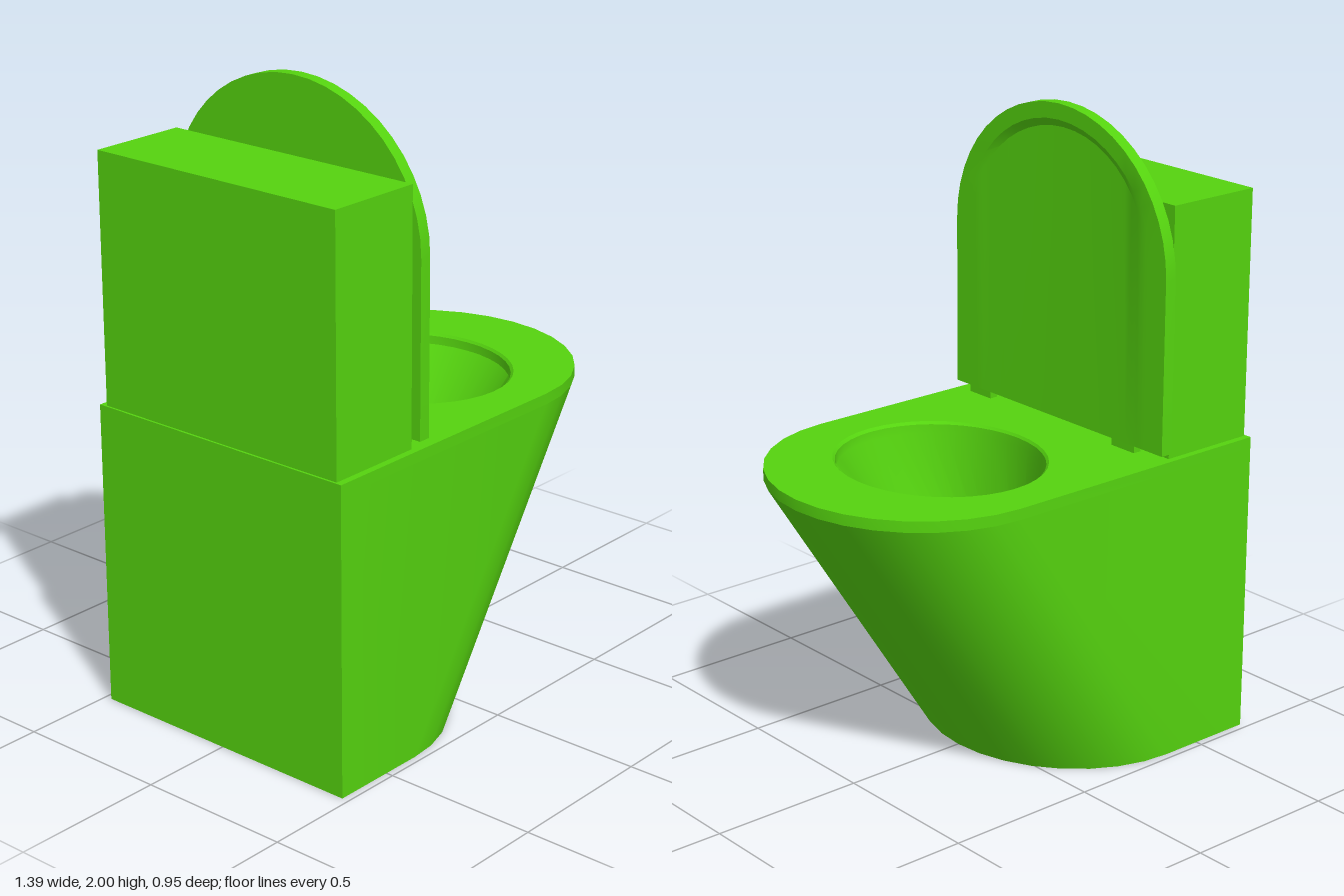
import * as THREE from 'three';
import { toCreasedNormals } from 'three/addons/utils/BufferGeometryUtils.js';

const material = new THREE.MeshStandardMaterial({ color: 0x55d30f });
const ARC = 16;
const HALF = 0.477; // half width of the body

// Skin a list of closed rings of [x, y, z] points, dropping empty triangles
function loft(rings, crease = 0.5) {
  const pos = [];
  const add = (...pts) => {
    const [a, b, c] = pts.map((p) => new THREE.Vector3(...p));
    if (b.clone().sub(a).cross(c.clone().sub(a)).length() > 1e-7) {
      for (const p of pts) pos.push(...p);
    }
  };
  for (let k = 0; k < rings.length - 1; k++) {
    const lo = rings[k], hi = rings[k + 1], n = lo.length;
    for (let i = 0; i < n; i++) {
      const j = (i + 1) % n;
      add(lo[i], lo[j], hi[i]);
      add(lo[j], hi[j], hi[i]);
    }
  }
  const geometry = new THREE.BufferGeometry();
  geometry.setAttribute('position', new THREE.Float32BufferAttribute(pos, 3));
  return toCreasedNormals(geometry, crease);
}

// Plan outline: straight back and sides, rounded front; shift slides the front back
function plan(shift = 0) {
  const pts = [[-0.697, HALF]];
  for (let i = 0; i <= ARC; i++) {
    const a = Math.PI / 2 - (Math.PI * i) / ARC;
    pts.push([0.24 + shift + 0.453 * Math.cos(a), HALF * Math.sin(a)]);
  }
  pts.push([-0.697, -HALF]);
  return pts;
}

// Horizontal ellipse, optionally tilted along x
function ellipse(cx, y, rx, rz, tilt = 0) {
  return Array.from({ length: 40 }, (_, i) => {
    const a = (-i / 40) * Math.PI * 2;
    return [cx + rx * Math.cos(a), y + tilt * Math.cos(a), rz * Math.sin(a)];
  });
}

// Upright lid outline with an arched top
function arch(x, rz, ry, depth = 0) {
  const bottom = 1.005, spring = 1.55;
  const pts = [[x, bottom, -rz]];
  for (let i = 0; i <= 24; i++) {
    const a = Math.PI - (Math.PI * i) / 24;
    const fade = Math.max(0, (Math.sin(a) - 0.35) / 0.65);
    pts.push([x - depth * fade, spring + ry * Math.sin(a), rz * Math.cos(a)]);
  }
  pts.push([x, bottom, rz]);
  return pts;
}

export function createModel() {
  const model = new THREE.Group();
  model.name = 'toilet';
  const add = (name, geometry) => {
    const mesh = new THREE.Mesh(geometry, material);
    mesh.name = name;
    model.add(mesh);
    return mesh;
  };
  const addBox = (name, x0, x1, y0, y1, z0, z1) =>
    add(name, new THREE.BoxGeometry(x1 - x0, y1 - y0, z1 - z0))
      .position.set((x0 + x1) / 2, (y0 + y1) / 2, (z0 + z1) / 2);

  // Pedestal leaning forward to the rim
  const foot = plan(-0.61).map(([x, z]) => [x, 0, z]);
  const neck = plan().map(([x, z]) => [x, 0.945, z]);
  add('pedestal', loft([foot.map(() => [-0.35, 0, 0]), foot, neck]));

  // Flat rim slab with the bowl opening
  const slab = new THREE.Shape(plan().map(([x, z]) => new THREE.Vector2(x, -z)));
  const opening = ellipse(0.15, 0, 0.315, 0.345);
  slab.holes.push(new THREE.Path(opening.map(([x, , z]) => new THREE.Vector2(x, -z))));
  const slabGeometry = new THREE.ExtrudeGeometry(slab, { depth: 0.035, bevelEnabled: false });
  slabGeometry.rotateX(-Math.PI / 2).translate(0, 0.945, 0);
  add('rim', toCreasedNormals(slabGeometry, 0.5));

  // Funnel bowl running back to the drain
  const end = ellipse(-0.13, 0.34, 0.06, 0.07, -0.03);
  add('bowl', loft([
    ellipse(0.15, 0.98, 0.315, 0.345),
    ellipse(0.15, 0.972, 0.309, 0.335),
    ellipse(0.15, 0.945, 0.307, 0.331),
    ellipse(-0.055, 0.42, 0.105, 0.108),
    end,
    end.map(() => [-0.13, 0.34, 0]),
  ]));

  // Cistern at the back
  addBox('cistern', -0.69, -0.367, 0.98, 1.767, -0.455, 0.455);

  // Raised lid with a shallow arched recess on its inner face
  const back = arch(-0.355, 0.477, 0.45);
  const step = arch(-0.316, 0.40, 0.375, 0.018);
  add('lid', loft([
    back.map(([x, , z]) => [x, 1.005, z]),
    back,
    arch(-0.316, 0.477, 0.45),
    arch(-0.316, 0.42, 0.40),
    step,
    step.map(([, , z]) => [-0.316, 1.005, z]),
  ], 0.35));

  // Hinges under the lid
  for (const z of [0.37, -0.30]) {
    addBox('hinge', -0.35, -0.322, 0.975, 1.01, z - 0.05, z + 0.05);
  }

  return model;
}
